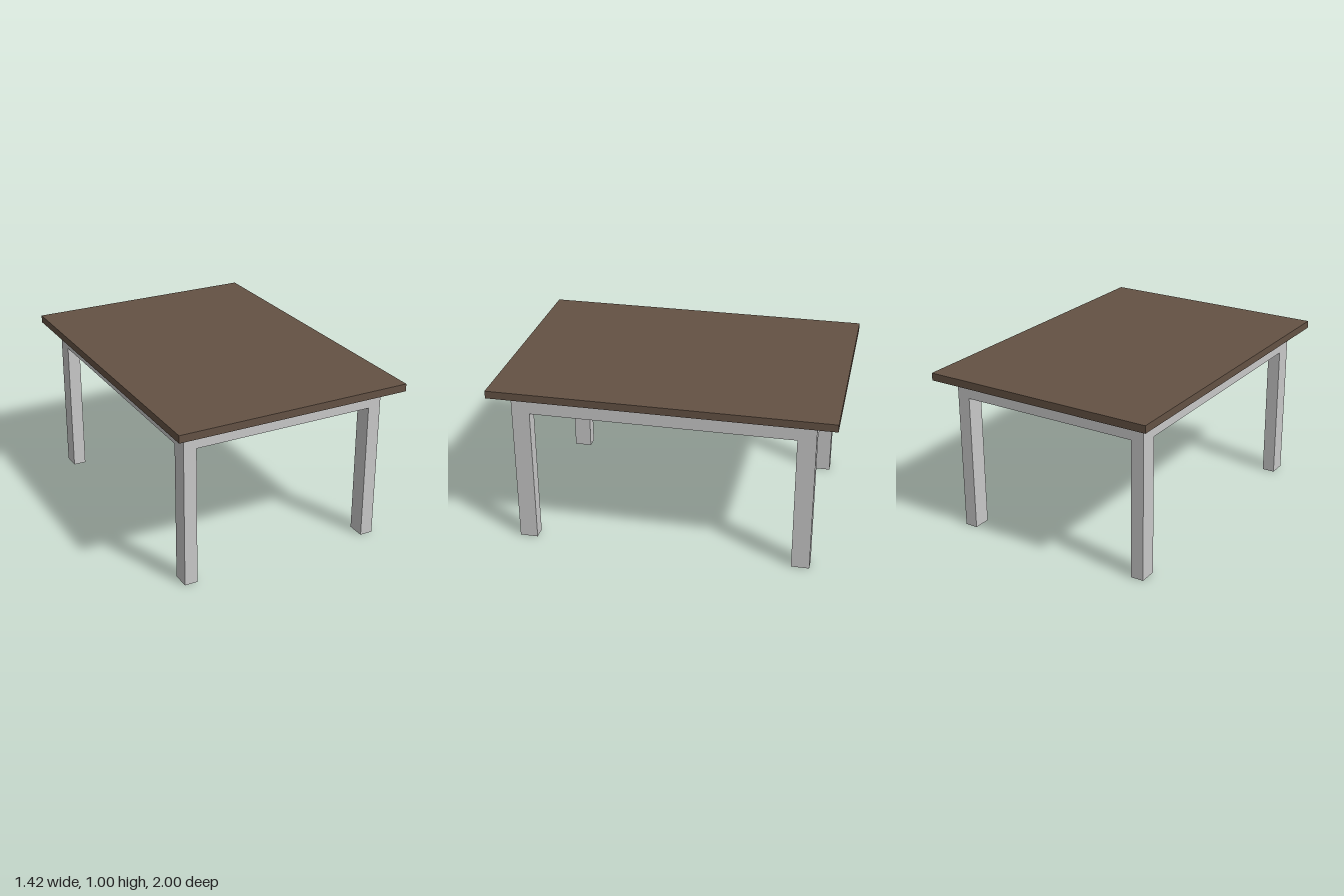
import * as THREE from 'three';

const HALF_X = 0.628, HALF_Z = 0.88;   // outer half extents of the frame
const LEG_X = 0.078, LEG_Z = 0.107;    // leg section
const TOP_Y = 0.955, RAIL_Y = 0.836;   // underside of the top and of the rails

export function createModel() {
  const table = new THREE.Group();
  table.name = 'table';

  const wood = new THREE.MeshStandardMaterial({ color: 0x645244 });
  wood.name = 'dark brown wood';
  const grey = new THREE.MeshStandardMaterial({ color: 0xc8c8c8 });
  grey.name = 'light grey frame';

  const addBox = (name, material, size, position) => {
    const mesh = new THREE.Mesh(new THREE.BoxGeometry(...size), material);
    mesh.name = name;
    mesh.position.set(...position);
    table.add(mesh);
  };

  // Overhanging slab
  addBox('tableTop', wood, [1.424, 1 - TOP_Y, 2], [0, (1 + TOP_Y) / 2, 0]);

  // Four corner legs
  const legX = HALF_X - LEG_X / 2, legZ = HALF_Z - LEG_Z / 2;
  for (const [sideX, x] of [['Left', 1], ['Right', -1]]) {
    for (const [sideZ, z] of [['front', 1], ['back', -1]]) {
      addBox(`${sideZ}${sideX}Leg`, grey, [LEG_X, TOP_Y, LEG_Z], [x * legX, TOP_Y / 2, z * legZ]);
    }
  }

  // Rails between the legs, flush with them inside and out
  const railH = TOP_Y - RAIL_Y, railY = (TOP_Y + RAIL_Y) / 2;
  for (const [name, z] of [['frontRail', 1], ['backRail', -1]]) {
    addBox(name, grey, [2 * (HALF_X - LEG_X), railH, LEG_Z], [0, railY, z * legZ]);
  }
  for (const [name, x] of [['leftRail', 1], ['rightRail', -1]]) {
    addBox(name, grey, [LEG_X, railH, 2 * (HALF_Z - LEG_Z)], [x * legX, railY, 0]);
  }

  return table;
}
